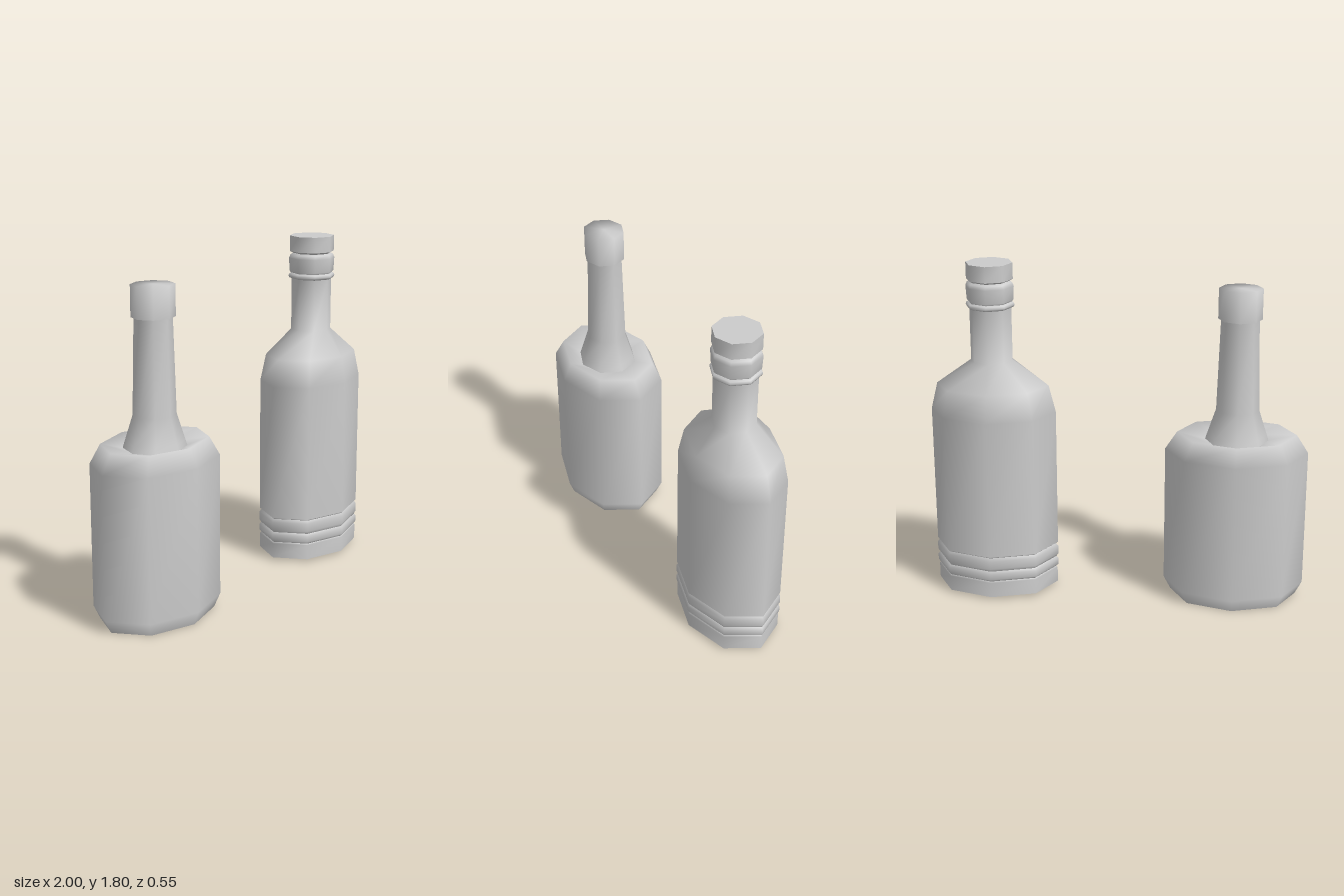
import * as THREE from 'three';

const SIDES = 8;
const material = new THREE.MeshStandardMaterial({ color: 0xcccccc, side: THREE.DoubleSide });

// Smooth eight-sided loft through [y, radiusX, radiusZ] sections, listed from bottom to top
function loft(name, sections) {
  const pos = [], index = [];
  sections.forEach(([y, rx, rz]) => {
    for (let i = 0; i < SIDES; i++) {
      const a = (i / SIDES) * Math.PI * 2;
      pos.push(Math.sin(a) * rx, y, Math.cos(a) * rz);
    }
  });
  for (let s = 0; s < sections.length - 1; s++) {
    for (let i = 0; i < SIDES; i++) {
      const j = (i + 1) % SIDES;
      const a = s * SIDES + i, b = s * SIDES + j, c = a + SIDES, d = b + SIDES;
      if (sections[s][1] > 0) index.push(a, b, d);
      if (sections[s + 1][1] > 0) index.push(a, d, c);
    }
  }
  const geo = new THREE.BufferGeometry();
  geo.setAttribute('position', new THREE.Float32BufferAttribute(pos, 3));
  geo.setIndex(index);
  geo.computeVertexNormals();
  const mesh = new THREE.Mesh(geo, material);
  mesh.name = name;
  return mesh;
}

// Expand [y, radius] pairs with a constant depth ratio
const oval = (ratio, pairs) => pairs.map(([y, r]) => [y, r, r * ratio]);

// Rounded band between two heights, narrowed at both edges
const band = (y0, y1, r, inset) => {
  const h = (y1 - y0) * 0.22;
  return [[y0, r - inset], [y0 + h, r], [y1 - h, r], [y1, r - inset]];
};

function squatBottle() {
  const g = new THREE.Group();
  g.name = 'squatBottle';
  const d = 0.733, n = 0.94;
  g.add(
    loft('base', oval(d, [[0, 0], [0, 0.338]])),
    // body with a shoulder rim that dips towards the neck
    loft('body', [...oval(d, [[0, 0.338], [0.07, 0.375], [0.815, 0.375], [0.912, 0.313]]), [0.875, 0.15, 0.14]]),
    loft('neck', oval(n, [[0.87, 0.168], [0.912, 0.155], [1.045, 0.112], [1.53, 0.098]])),
    loft('capUnderside', oval(n, [[1.53, 0.09], [1.53, 0.113]])),
    loft('cap', oval(n, [[1.53, 0.113], [1.69, 0.113], [1.69, 0]]))
  );
  g.position.x = -0.625;
  return g;
}

function tallBottle() {
  const g = new THREE.Group();
  g.name = 'tallBottle';
  const d = 0.72;
  g.add(
    loft('base', oval(d, [[0.015, 0], [0.015, 0.329]])),
    loft('foot', oval(d, [[0.015, 0.329], [0.098, 0.329], [0.106, 0.322]])),
    loft('lowerBand', oval(d, band(0.106, 0.164, 0.335, 0.013))),
    loft('upperBand', oval(d, band(0.164, 0.242, 0.335, 0.013))),
    // oval body blending into a round neck
    loft('body', [
      ...oval(d, [[0.242, 0.322], [0.25, 0.333], [1.0, 0.333], [1.145, 0.297]]),
      [1.28, 0.11, 0.11], [1.565, 0.11, 0.11]
    ]),
    loft('neckRing', oval(1, [[1.56, 0.105], [1.567, 0.124], [1.577, 0.128], [1.588, 0.124], [1.594, 0.112]])),
    loft('collar', oval(1, [[1.59, 0.11], [1.603, 0.122], [1.675, 0.126], [1.694, 0.118], [1.704, 0.1]])),
    loft('capUnderside', oval(1, [[1.7, 0.1], [1.712, 0.122]])),
    loft('cap', oval(1, [[1.712, 0.122], [1.797, 0.122]])),
    loft('capTop', oval(1, [[1.797, 0.122], [1.797, 0]]))
  );
  g.position.x = 0.663;
  return g;
}

export function createModel() {
  const model = new THREE.Group();
  model.name = 'bottles';
  model.add(squatBottle(), tallBottle());
  return model;
}
